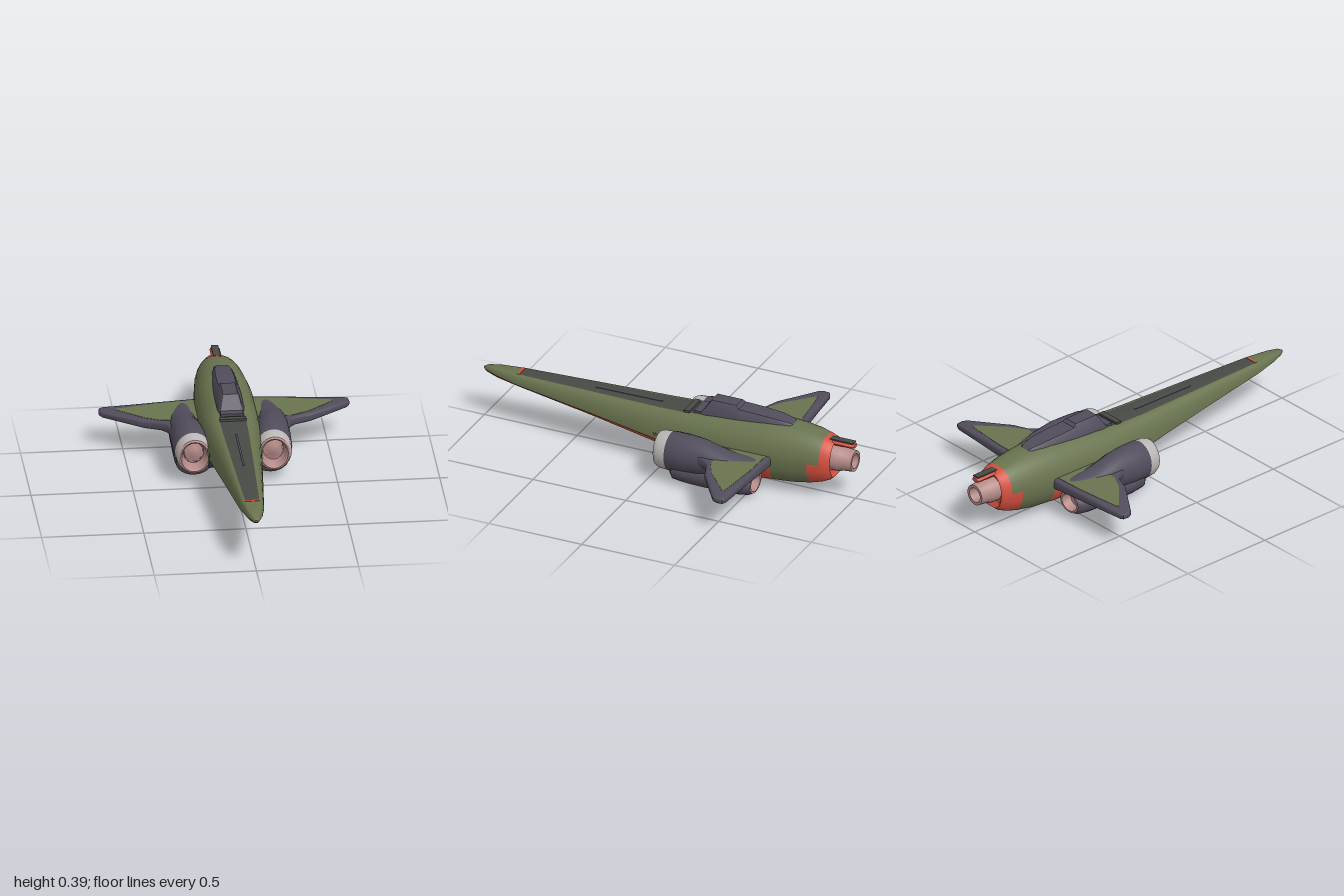
import * as THREE from 'three';
import { toCreasedNormals } from 'three/addons/utils/BufferGeometryUtils.js';

const colour = (name, hex) => {
  const m = new THREE.MeshStandardMaterial({ color: hex });
  m.name = name;
  return m;
};
const mats = [
  colour('olive hull', 0x69744f), colour('red panel', 0xd4503f), colour('slate armour', 0x524d5c),
  colour('dark deck', 0x484a46), colour('pale metal', 0xbdb8b7), colour('pink metal', 0xb48a88),
];
const [OLIVE, RED, SLATE, DECK, PALE, PINK] = [0, 1, 2, 3, 4, 5];

// Skins rings of [x, y] points (counter-clockwise from the front), capping both ends.
// matOf(ring, point) picks the colour of each face.
function loft(name, rings, matOf, crease = 0.7) {
  const bins = mats.map(() => []);
  const n = rings[0].pts.length;
  const P = (i, j) => [...rings[i].pts[j % n], rings[i].z];
  const cap = (i, flip, m) => {
    const c = [0, 1].map(k => rings[i].pts.reduce((s, p) => s + p[k], 0) / n);
    for (let j = 0; j < n; j++) {
      const e = flip ? [P(i, j + 1), P(i, j)] : [P(i, j), P(i, j + 1)];
      bins[m].push(c[0], c[1], rings[i].z, ...e[0], ...e[1]);
    }
  };
  for (let i = 0; i < rings.length - 1; i++) {
    for (let j = 0; j < n; j++) {
      const a = P(i, j), b = P(i, j + 1), c = P(i + 1, j), d = P(i + 1, j + 1);
      bins[matOf(i, j)].push(...a, ...c, ...b, ...b, ...c, ...d);
    }
  }
  cap(0, false, matOf(0, 0));
  cap(rings.length - 1, true, matOf(rings.length - 2, 0));
  const g = new THREE.BufferGeometry();
  g.setAttribute('position', new THREE.Float32BufferAttribute(bins.flat(), 3));
  let start = 0;
  bins.forEach((b, m) => {
    if (b.length) g.addGroup(start, b.length / 3, m);
    start += b.length / 3;
  });
  const mesh = new THREE.Mesh(toCreasedNormals(g, crease), mats);
  mesh.name = name;
  return mesh;
}

// Mirrors a right-hand half outline (bottom to top) into a closed ring
const mirrored = half => [...half, ...half.map(([x, y]) => [-x, y]).reverse()];

// Rings of ellipses from rows of [z, cx, cy, rx, ry]
const ellipses = (rows, n = 24) => rows.map(([z, cx, cy, rx, ry]) => ({
  z, pts: Array.from({ length: n }, (_, j) => {
    const a = j / n * Math.PI * 2;
    return [cx + rx * Math.cos(a), cy + ry * Math.sin(a)];
  }),
}));

function plate(name, m, w, h, d, x, y, z) {
  const mesh = new THREE.Mesh(new THREE.BoxGeometry(w, h, d), mats[m]);
  mesh.name = name;
  mesh.position.set(x, y, z);
  return mesh;
}

// Hull: z, top, bottom, half width, chine height, deck half width, keel half width, belly roundness
function fuselage() {
  const rows = [
    [1, .272, .262, .006, .267, .003, .003, 0],
    [.98, .281, .25, .02, .264, .01, .01, 0],
    [.92, .286, .236, .038, .256, .022, .02, 0],
    [.8, .289, .219, .058, .241, .035, .03, 0],
    [.4, .295, .165, .095, .202, .05, .052, 0],
    [.02, .3, .107, .13, .16, .063, .075, 0],
    [-.12, .305, .07, .14, .17, .065, .11, .4],
    [-.2, .312, .052, .145, .18, .06, .11, .7],
    [-.36, .335, .05, .148, .19, .025, .09, .9],
    [-.55, .348, .05, .146, .195, .02, .07, 1],
    [-.6, .348, .05, .143, .195, .02, .06, 1],
    [-.7, .343, .054, .132, .195, .02, .05, 1],
    [-.79, .331, .066, .12, .2, .02, .04, 1],
    [-.85, .316, .084, .107, .2, .02, .04, 1],
    [-.885, .304, .1, .095, .2, .02, .04, 1],
    [-.9, .295, .113, .082, .2, .02, .03, 1],
    [-.885, .28, .135, .07, .2, .02, .03, 1],
  ];
  const rings = rows.map(([z, top, bot, w, chine, ft, bw, r]) => {
    const half = [];
    for (let k = 0; k < 4; k++) {
      const t = k / 4, a = t * Math.PI / 2, mix = THREE.MathUtils.lerp;
      half.push([mix(bw + (w - bw) * t, bw + (w - bw) * Math.sin(a), r),
        mix(bot + (chine - bot) * t, chine - (chine - bot) * Math.cos(a), r)]);
    }
    for (let k = 0; k <= 7; k++) {
      const a = k / 7 * Math.PI / 2;
      half.push([ft + (w - ft) * Math.cos(a), chine + (top - chine) * Math.sin(a)]);
    }
    return { z, pts: mirrored(half) };
  });
  const n = rings[0].pts.length;
  return loft('fuselage', rings, (i, j) => {
    const lower = j < 4 || j >= n - 5;
    if (i >= 13 || (lower && (i < 10 || i === 12))) return RED;
    if (j === n / 2 - 1 && i >= 3 && i < 7) return DECK;
    return OLIVE;
  }, 0.6);
}

// Dorsal spine: z, base half width, top half width, top height
function spine() {
  const rows = [[-.19, .065, .055, .312], [-.24, .066, .036, .388], [-.375, .068, .036, .388],
    [-.39, .07, .045, .374], [-.5, .068, .045, .37], [-.6, .064, .04, .363],
    [-.66, .052, .03, .353], [-.685, .03, .015, .338]];
  return loft('dorsalSpine', rows.map(([z, bw, tw, top]) => ({
    z, pts: mirrored([[bw, .29], [bw, .29 + (top - .29) * .35], [tw + .006, top - .006], [tw, top]]),
  })), () => SLATE, 0.5);
}

// Slate block under the hull between the engines
function bellyBlock() {
  const rows = [[.03, .15, .19], [-.02, .1, .19], [-.13, .05, .19], [-.24, .048, .15]];
  return loft('bellyBlock', rows.map(([z, bot, top]) => ({
    z, pts: mirrored([[.115, bot], [.127, bot + .012], [.13, top]]),
  })), () => SLATE, 0.4);
}

// Flat outline in x and z, thickened upward, then thinned toward the tip
function wingPart(name, m, outline, y0, depth, bevel) {
  const shape = new THREE.Shape(outline.map(([x, z]) => new THREE.Vector2(x, -z)));
  const g = new THREE.ExtrudeGeometry(shape, {
    depth, bevelEnabled: bevel > 0, bevelThickness: bevel, bevelSize: bevel,
    bevelOffset: -bevel, bevelSegments: 3,
  });
  g.rotateX(-Math.PI / 2).translate(0, y0, 0);
  const p = g.attributes.position;
  for (let i = 0; i < p.count; i++) {
    const s = THREE.MathUtils.mapLinear(p.getX(i), .15, .61, 1.25, .7);
    p.setY(i, .18 + p.getY(i) * s);
  }
  const mesh = new THREE.Mesh(toCreasedNormals(g, 0.8), mats[m]);
  mesh.name = name;
  return mesh;
}

// Wing and engine for one side
function sideGroup(name, mirror) {
  const g = new THREE.Group();
  g.name = name;
  g.add(wingPart('wing', SLATE, [[.1, -.61], [.15, -.608], [.3, -.6], [.45, -.59], [.59, -.582], [.61, -.572],
    [.613, -.54], [.6, -.515], [.41, -.382], [.33, -.352], [.305, -.325], [.285, -.27], [.1, -.27]], -.01, .02, .012));
  g.add(wingPart('wingPanel', OLIVE, [[.12, -.585], [.3, -.575], [.42, -.56], [.53, -.545], [.535, -.535],
    [.4, -.415], [.32, -.372], [.12, -.36]], .0205, .003, 0));
  g.add(loft('engineIntake', ellipses([
    [-.085, .195, .155, .02, .024], [-.1, .195, .155, .042, .05], [-.1, .195, .155, .05, .06],
    [-.04, .195, .155, .06, .07], [-.032, .195, .155, .068, .078], [-.037, .195, .155, .078, .088],
    [-.06, .196, .155, .087, .097], [-.115, .197, .156, .089, .099],
  ]), i => (i < 5 ? PINK : PALE)));
  g.add(loft('engineCowl', ellipses([
    [-.1, .197, .156, .088, .098], [-.112, .198, .156, .092, .101], [-.2, .203, .16, .09, .1],
    [-.28, .21, .166, .083, .092], [-.35, .215, .172, .075, .07], [-.43, .215, .176, .068, .045],
    [-.56, .2, .178, .05, .03],
  ]), () => SLATE));
  g.add(loft('lowerPod', ellipses([
    [-.12, .19, .085, .07, .05], [-.135, .188, .08, .088, .065], [-.2, .185, .077, .095, .07],
    [-.3, .184, .075, .095, .072], [-.48, .184, .075, .092, .068], [-.53, .185, .076, .082, .062],
    [-.55, .185, .076, .065, .052], [-.55, .185, .076, .052, .045], [-.5, .185, .076, .045, .038],
  ]), i => (i > 5 ? PINK : SLATE)));
  if (mirror) g.scale.x = -1;
  return g;
}

export function createModel() {
  const model = new THREE.Group();
  model.name = 'spacecraft';
  model.add(fuselage(), spine(), bellyBlock(), sideGroup('leftSide', false), sideGroup('rightSide', true));

  // Cockpit steps and deck markings
  model.add(plate('cockpitSill', DECK, .13, .02, .03, 0, .306, -.12));
  model.add(plate('cockpitFrame', SLATE, .11, .024, .04, 0, .309, -.175));
  const seam = plate('deckSeam', SLATE, .01, .004, .36, 0, .2985, .22);
  seam.rotation.x = .013;
  model.add(seam, plate('noseBand', RED, .07, .004, .012, 0, .289, .802));

  // Tail exhaust and the boom above it
  model.add(loft('tailExhaust', ellipses([
    [-.86, 0, .208, .068, .068], [-.93, 0, .208, .064, .064], [-.94, 0, .208, .058, .058],
    [-1, 0, .208, .053, .053], [-1, 0, .208, .038, .038], [-.95, 0, .208, .032, .032],
  ]), () => PINK));
  model.add(loft('tailBoom', ellipses([
    [-.84, 0, .294, .035, .018], [-.9, 0, .293, .026, .017], [-.985, 0, .292, .025, .015],
    [-1, 0, .292, .018, .01],
  ], 12), () => RED));
  model.add(plate('boomCap', DECK, .036, .006, .125, 0, .308, -.932));
  return model;
}
